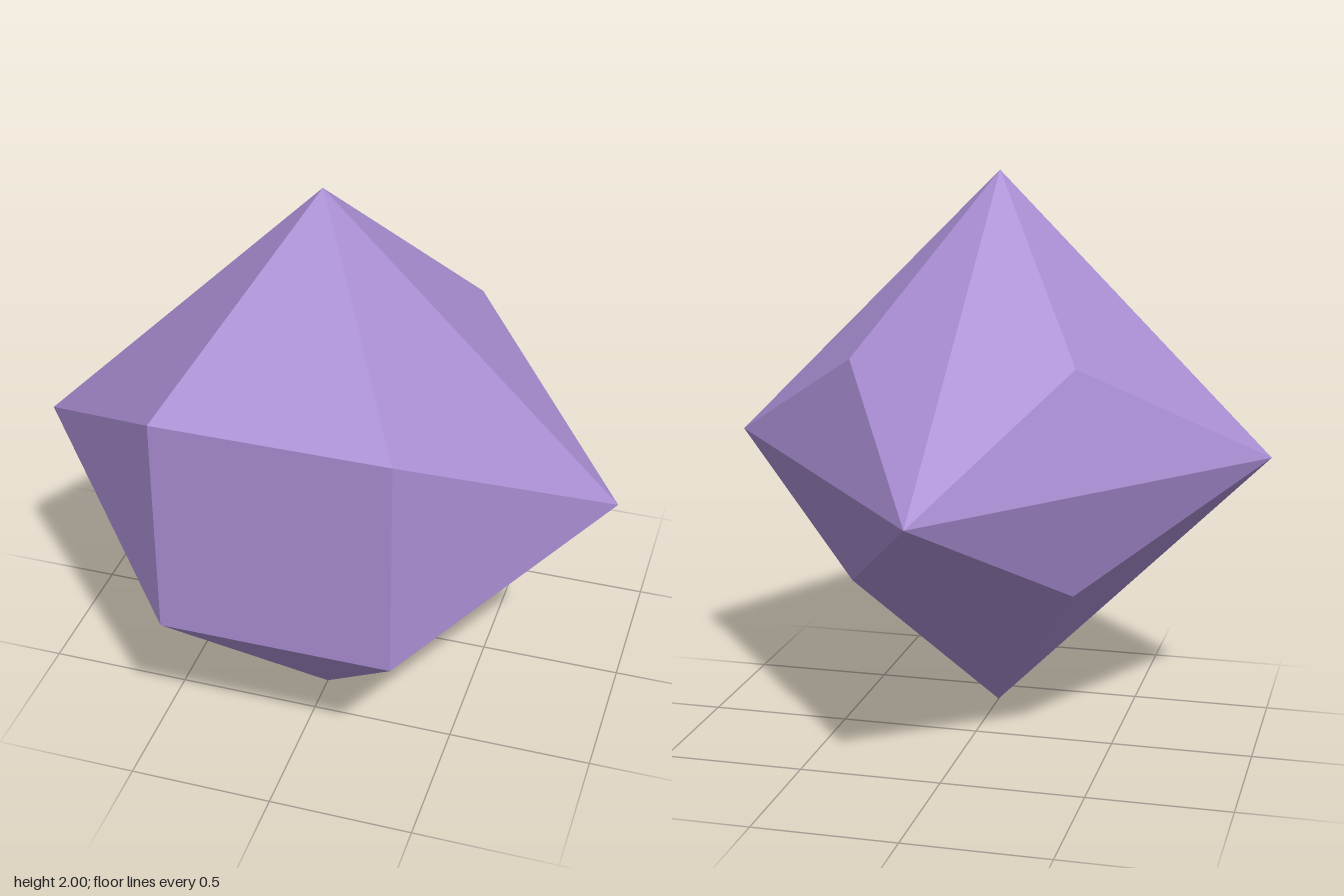
import * as THREE from 'three';

const GIRDLE_Z = 0.35;  // plane of the four long tips
const FRONT_Z = 0.915;  // flat square table
const FACET_Z = -0.21;  // raised facet points behind the girdle
const CORNER = 0.395;   // half side of the square table

function createGemGeometry() {
  const positions = [];
  const tri = (...points) => points.forEach((p) => positions.push(p.x, p.y, p.z));

  // Points repeat every quarter turn about the gem's z axis
  const turn = (x, y, z, i) =>
    new THREE.Vector3(x, y, z).applyAxisAngle(new THREE.Vector3(0, 0, 1), (i * Math.PI) / 2);
  const tip = (i) => turn(1, 0, GIRDLE_Z, i);
  const front = (i) => turn(CORNER, CORNER, FRONT_Z, i);
  const facet = (i) => turn(CORNER, CORNER, FACET_Z, i);
  const back = new THREE.Vector3(0, 0, -0.915);

  for (let i = 0; i < 4; i++) {
    const a = tip(i), b = tip(i + 1), p = facet(i);
    // Front crown: corner facet and the facet beside the table
    tri(a, b, front(i));
    tri(b, front(i + 1), front(i));
    // Back: shallow three-sided pyramid in each quarter
    tri(b, a, p);
    tri(a, back, p);
    tri(back, b, p);
  }

  // Square table
  tri(front(0), front(1), front(2));
  tri(front(0), front(2), front(3));

  const geometry = new THREE.BufferGeometry();
  geometry.setAttribute('position', new THREE.Float32BufferAttribute(positions, 3));
  geometry.computeVertexNormals();
  return geometry;
}

export function createModel() {
  const violet = new THREE.MeshStandardMaterial({ color: 0xa98dd2, flatShading: true });
  violet.name = 'violet';

  const gem = new THREE.Mesh(createGemGeometry(), violet);
  gem.name = 'gem';
  gem.position.y = 1;

  const model = new THREE.Group();
  model.name = 'facetedGem';
  model.add(gem);
  return model;
}
